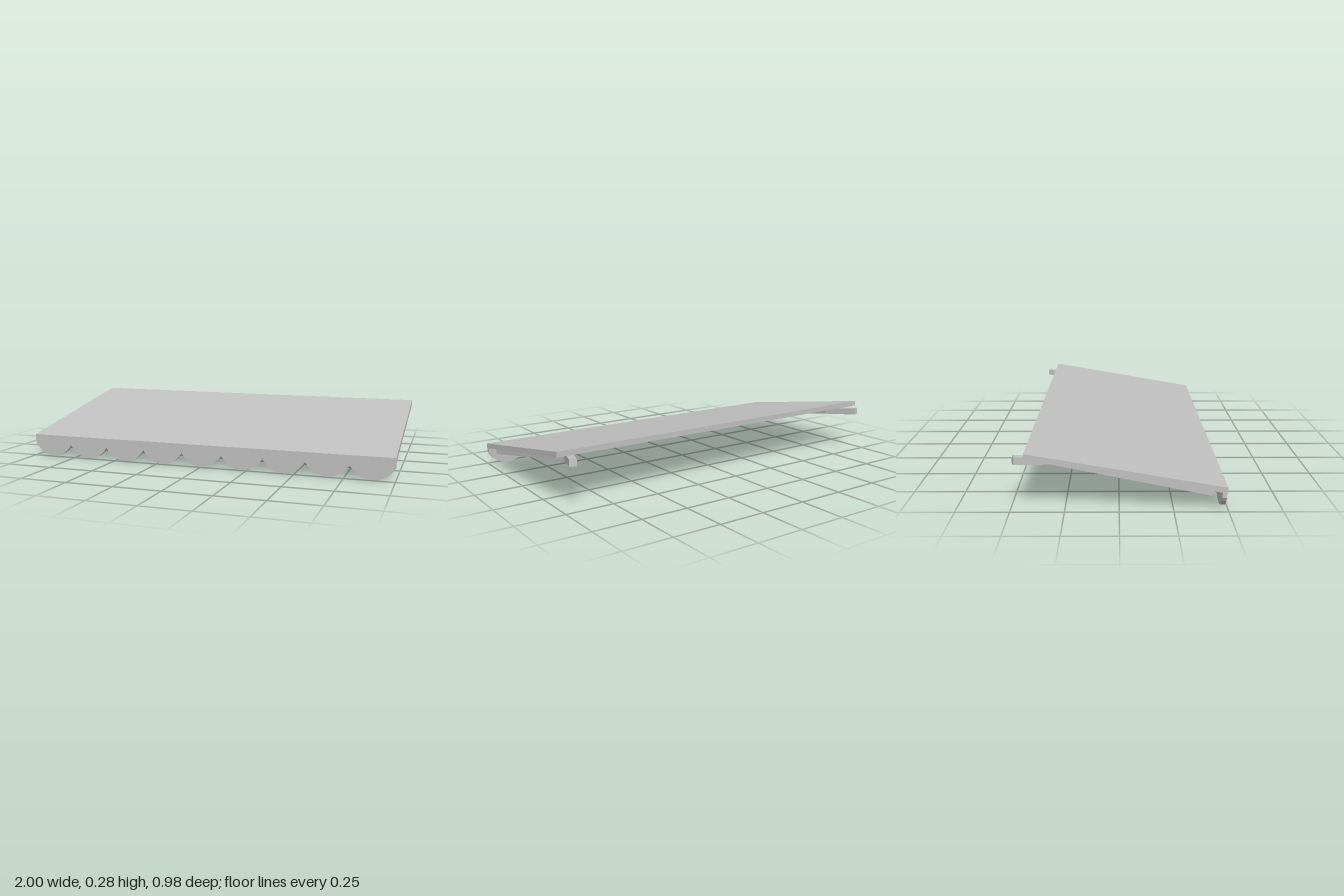
import * as THREE from 'three';

export function createModel() {
  const group = new THREE.Group();
  group.name = 'awning';
  const grey = new THREE.MeshStandardMaterial({ color: 0xc0c0c0 });
  grey.name = 'grey';

  const add = (name, geometry) => {
    const mesh = new THREE.Mesh(geometry, grey);
    mesh.name = name;
    group.add(mesh);
    return mesh;
  };

  // Square bar between two points
  const bar = (name, a, b, size) => {
    const from = new THREE.Vector3(...a), to = new THREE.Vector3(...b);
    const mesh = add(name, new THREE.BoxGeometry(size, size, from.distanceTo(to)));
    mesh.position.copy(from).lerp(to, 0.5);
    mesh.lookAt(to);
    return mesh;
  };

  // Sloping roof panel: side profile (z, y) swept across the width
  const profile = new THREE.Shape([
    [0.493, 0.09], [0.493, 0.118], [-0.428, 0.28], [-0.428, 0.252],
  ].map(([z, y]) => new THREE.Vector2(z, y)));
  const roof = new THREE.ExtrudeGeometry(profile, { depth: 2, bevelEnabled: false });
  roof.translate(0, 0, -1).rotateY(-Math.PI / 2);
  add('roofPanel', roof);

  // Scalloped valance along the front edge
  const count = 9, steps = 12, pitch = 2 / count, radius = 0.125;
  const half = Math.asin(pitch / 2 / radius);
  const outline = [new THREE.Vector2(1, 0.097), new THREE.Vector2(-1, 0.097)];
  for (let i = 0; i < count; i++) {
    const cx = -1 + pitch * (i + 0.5);
    for (let j = i ? 1 : 0; j <= steps; j++) {
      const t = half * (2 * j / steps - 1);
      outline.push(new THREE.Vector2(cx + radius * Math.sin(t), radius - radius * Math.cos(t)));
    }
  }
  const valance = new THREE.ExtrudeGeometry(new THREE.Shape(outline), { depth: 0.02, bevelEnabled: false });
  valance.translate(0, 0, 0.468);
  add('valance', valance);

  // Rail under the front edge, joining the arms
  bar('frontRail', [-0.945, 0.087, 0.42], [0.945, 0.087, 0.42], 0.032);

  // Folding arms, mirrored left and right
  for (const [side, s] of [['left', 1], ['right', -1]]) {
    const elbow = [s * 0.887, 0.213, -0.31];
    bar(side + 'FrontArm', [s * 0.95, 0.083, 0.434], elbow, 0.036);
    bar(side + 'RearArm', [s * 0.885, 0.213, -0.3], [s * 0.947, 0.233, -0.484], 0.036);
  }
  return group;
}
